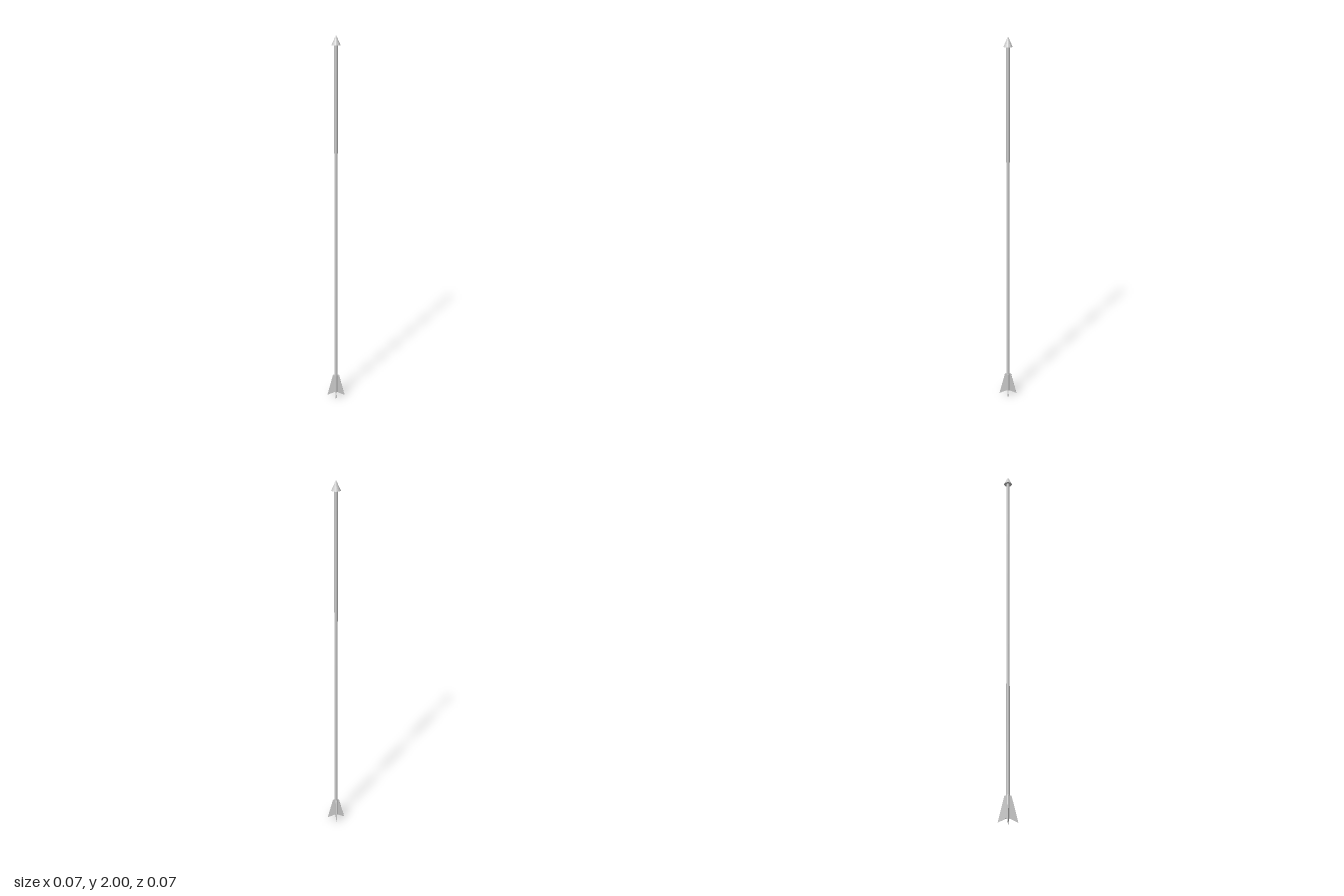
import * as THREE from 'three';

const SHAFT_R = 0.009;
const FIN_R = 0.049;

// Swept-back fin that thins from its root to its outer edge
function finGeometry() {
  const outline = new THREE.Shape([
    [0, 0.024], [FIN_R, 0], [0.017, 0.128], [0, 0.128],
  ].map(([x, y]) => new THREE.Vector2(x, y)));
  const geo = new THREE.ExtrudeGeometry(outline, { depth: 1, bevelEnabled: false });
  const pos = geo.attributes.position;
  for (let i = 0; i < pos.count; i++) {
    const half = THREE.MathUtils.lerp(0.005, 0.001, pos.getX(i) / FIN_R);
    pos.setZ(i, (pos.getZ(i) - 0.5) * 2 * half);
  }
  geo.computeVertexNormals();
  return geo;
}

export function createModel() {
  const model = new THREE.Group();
  model.name = 'arrow';
  const smooth = new THREE.MeshStandardMaterial({ color: 0xcccccc });
  const flat = new THREE.MeshStandardMaterial({ color: 0xcccccc, flatShading: true });

  const add = (name, geo, material, y = 0) => {
    const mesh = new THREE.Mesh(geo, material);
    mesh.name = name;
    mesh.position.y = y;
    model.add(mesh);
    return mesh;
  };

  // Long thin shaft, from the fins up into the head
  const bottom = 0.02, top = 1.96;
  add('shaft', new THREE.CylinderGeometry(SHAFT_R, SHAFT_R, top - bottom, 16), smooth, (top + bottom) / 2);

  // Pointed head
  add('head', new THREE.ConeGeometry(0.023, 0.05, 16), flat, 1.975);

  // Four fins on the diagonals
  const fin = finGeometry();
  for (let i = 0; i < 4; i++) {
    add(`fin${i + 1}`, fin, flat).rotation.y = Math.PI / 4 + (i * Math.PI) / 2;
  }
  return model;
}
